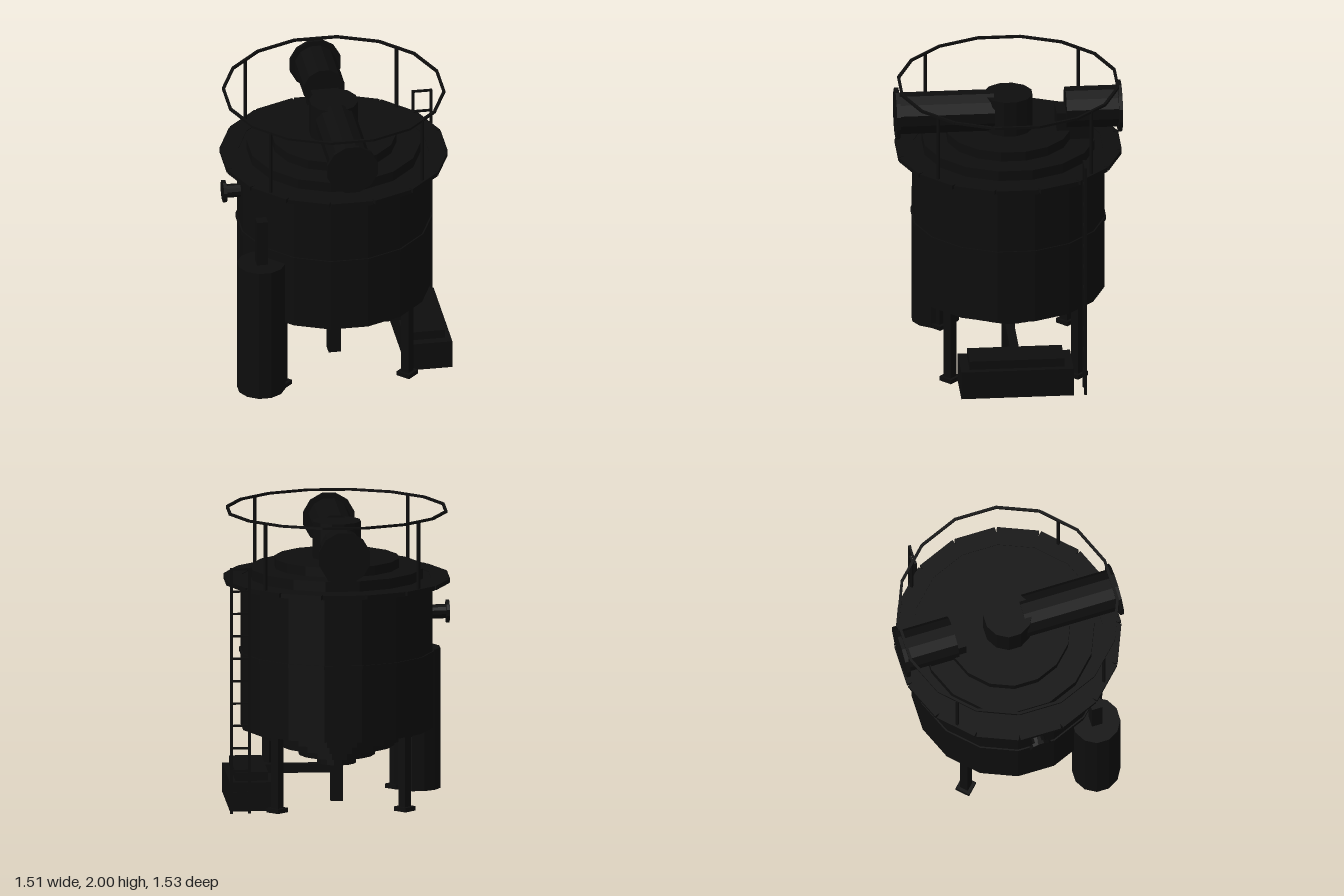
import * as THREE from 'three';

const black = new THREE.MeshStandardMaterial({ color: 0x0d0d0d, flatShading: true });
black.name = 'blackened steel';

export function createModel() {
  const root = new THREE.Group();
  root.name = 'processingVessel';
  const SEG = 16;

  function add(name, geometry, x, y, z, parent = root) {
    const mesh = new THREE.Mesh(geometry, black);
    mesh.name = name;
    mesh.position.set(x, y, z);
    parent.add(mesh);
    return mesh;
  }
  // box between two opposite corners
  function box(name, x0, x1, y0, y1, z0, z1) {
    return add(name, new THREE.BoxGeometry(x1 - x0, y1 - y0, z1 - z0),
      (x0 + x1) / 2, (y0 + y1) / 2, (z0 + z1) / 2);
  }
  // prism with flats facing the axes; r is measured to the flats
  function prism(r, h, n) {
    const R = r / Math.cos(Math.PI / n);
    return new THREE.CylinderGeometry(R, R, h, n, 1, false, Math.PI / n);
  }
  function drum(name, r, y0, y1, n = SEG, x = 0, z = 0) {
    return add(name, prism(r, y1 - y0, n), x, (y0 + y1) / 2, z);
  }
  function pipeZ(name, r, z0, z1, y) {
    return add(name, prism(r, z1 - z0, 12).rotateX(Math.PI / 2), 0, y, (z0 + z1) / 2);
  }
  function pipeX(name, r, x0, x1, y) {
    return add(name, prism(r, x1 - x0, 12).rotateZ(Math.PI / 2), (x0 + x1) / 2, y, 0);
  }
  // ring of straight plates, one for each side of the vessel
  function plateRing(name, rIn, rOut, y0, y1, length) {
    const ring = new THREE.Group();
    ring.name = name;
    const geo = new THREE.BoxGeometry(length, y1 - y0, rOut - rIn);
    const r = (rIn + rOut) / 2;
    for (let i = 0; i < SEG; i++) {
      const a = (i / SEG) * Math.PI * 2;
      add(name + 'Plate', geo, Math.sin(a) * r, (y0 + y1) / 2, Math.cos(a) * r, ring).rotation.y = a;
    }
    root.add(ring);
  }

  // vessel body, stepped bottom and stepped lid
  drum('body', 0.64, 0.51, 1.53);
  drum('middleBand', 0.65, 1.01, 1.035);
  [[0.51, 0.45, 0.51], [0.385, 0.385, 0.45], [0.255, 0.32, 0.385], [0.13, 0.26, 0.32]]
    .forEach(([r, y0, y1]) => drum('bottomStep', r, y0, y1));
  drum('lowerLid', 0.575, 1.53, 1.6);
  drum('upperLid', 0.415, 1.6, 1.665);
  drum('hub', 0.16, 1.665, 1.915, 12);

  // walkway and handrail
  plateRing('walkway', 0.63, 0.755, 1.505, 1.535, 0.285);
  plateRing('handrail', 0.72, 0.738, 1.984, 2, 0.292);

  // legs and rail posts stand at the four diagonals
  for (const sx of [-1, 1]) for (const sz of [-1, 1]) {
    add('leg', new THREE.BoxGeometry(0.06, 0.5, 0.06), sx * 0.43, 0.265, sz * 0.43).rotation.y = Math.PI / 4;
    add('foot', new THREE.BoxGeometry(0.102, 0.03, 0.102), sx * 0.43, 0.015, sz * 0.43).rotation.y = Math.PI / 4;
    add('railPost', new THREE.BoxGeometry(0.018, 0.46, 0.018), sx * 0.517, 1.762, sz * 0.517).rotation.y = Math.PI / 4;
  }

  // front and rear ducts
  pipeZ('frontDuct', 0.138, 0.1, 0.745, 1.792);
  pipeZ('frontDuctFlange', 0.172, 0.74, 0.765, 1.792);
  pipeZ('rearDuct', 0.138, -0.745, -0.385, 1.792);
  pipeZ('rearDuctFlange', 0.172, -0.762, -0.737, 1.792);
  box('rearDuctBase', -0.093, 0.097, 1.54, 1.792, -0.57, -0.32);

  // side nozzle
  pipeX('nozzle', 0.046, -0.75, -0.51, 1.283);
  pipeX('nozzleFlange', 0.075, -0.76, -0.737, 1.283);

  // side tank with riser
  drum('sideTank', 0.158, 0, 0.96, 12, -0.57, 0.445);
  box('sideTankRiser', -0.605, -0.529, 0.95, 1.285, 0.405, 0.481);

  // outlet, transfer pipe and pump housing
  box('outlet', -0.041, 0.043, 0, 0.27, -0.042, 0.042);
  box('transferPipe', 0.03, 0.5, 0.195, 0.255, -0.03, 0.03);
  box('pumpHousing', 0.44, 0.747, 0, 0.197, -0.38, 0.38);
  box('pumpCover', 0.485, 0.705, 0.197, 0.256, -0.32, 0.32);

  // ladder
  for (const x of [0.62, 0.742]) box('ladderRail', x - 0.009, x + 0.009, 0, 1.68, -0.469, -0.451);
  for (let i = 0; i < 11; i++) {
    const y = 0.14 + i * 0.1533;
    box('ladderRung', 0.62, 0.742, y - 0.007, y + 0.007, -0.467, -0.453);
  }
  return root;
}
